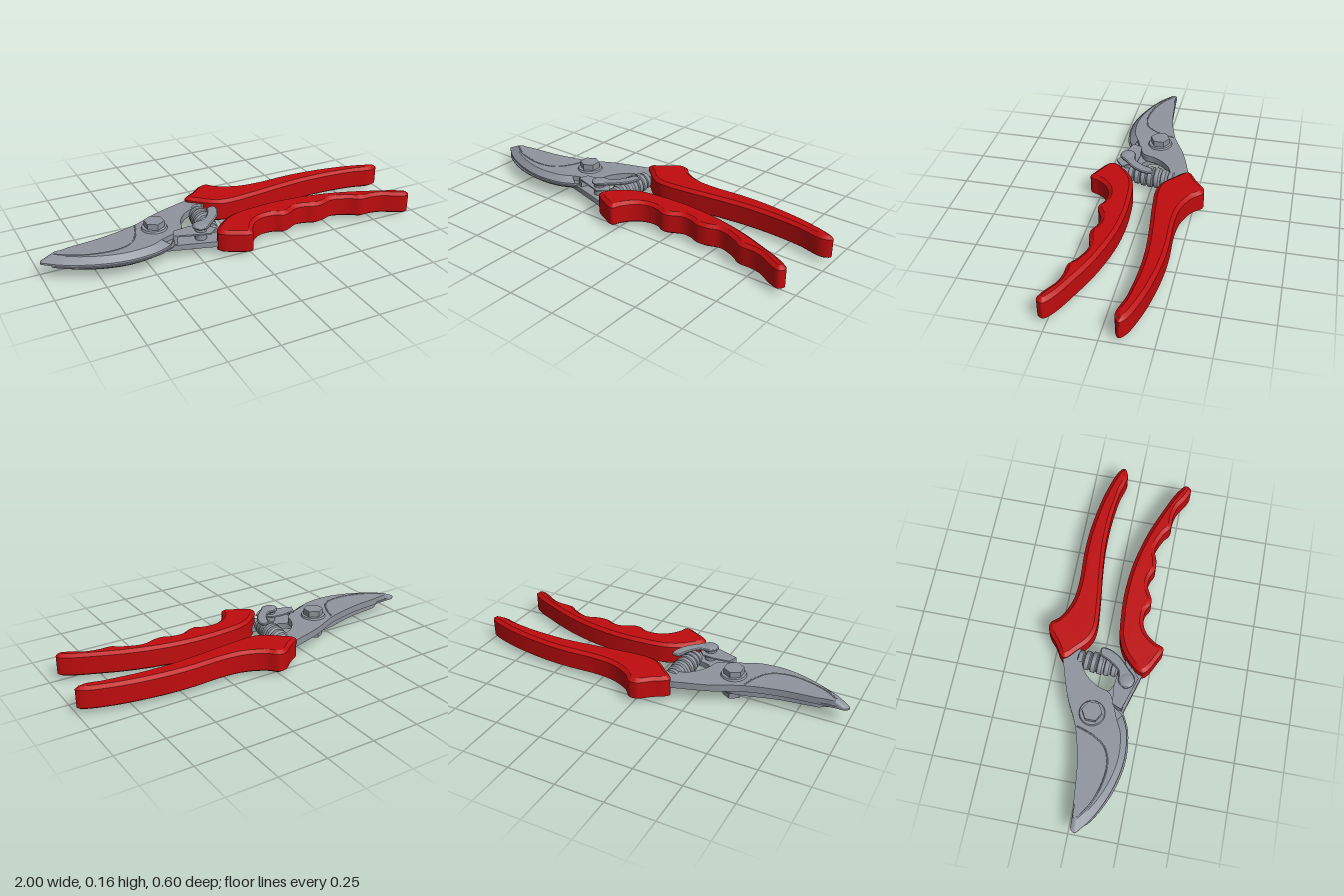
import * as THREE from 'three';
import { toCreasedNormals } from 'three/addons/utils/BufferGeometryUtils.js';

const red = new THREE.MeshStandardMaterial({ color: 0xc00c0e });
red.name = 'red grip';
const steel = new THREE.MeshStandardMaterial({ color: 0x8f959e, side: THREE.DoubleSide });
steel.name = 'steel';

// Smooth curve through [x, z] points
function smooth(pts, n, closed = false) {
  const c = new THREE.CatmullRomCurve3(pts.map(([x, z]) => new THREE.Vector3(x, 0, z)), closed);
  const out = c.getPoints(n).map(p => [p.x, p.z]);
  if (closed) out.pop();
  return out;
}

// Flat slab with an [x, z] outline between heights y0 and y1
function slab(outline, y0, y1, bevel = 0, bevelH = 0) {
  const shape = new THREE.Shape(outline.map(([x, z]) => new THREE.Vector2(x, z)));
  const g = new THREE.ExtrudeGeometry(shape, {
    depth: y1 - y0 - 2 * bevelH, bevelEnabled: bevel > 0,
    bevelSize: bevel, bevelOffset: -bevel, bevelThickness: bevelH, bevelSegments: 1,
  });
  g.rotateX(Math.PI / 2).translate(0, y1 - bevelH, 0);
  return toCreasedNormals(g, 0.5);
}

// Sloping strip between two [x, z] lines at two heights
function strip(a, ya, b, yb) {
  const pos = [], idx = [];
  a.forEach(([x, z], i) => {
    pos.push(x, ya, z, b[i][0], yb, b[i][1]);
    if (i) {
      const k = 2 * i;
      if (ya > yb) idx.push(k - 2, k - 1, k, k, k - 1, k + 1);
      else idx.push(k - 2, k, k - 1, k, k + 1, k - 1);
    }
  });
  const g = new THREE.BufferGeometry();
  g.setAttribute('position', new THREE.Float32BufferAttribute(pos, 3));
  g.setIndex(idx);
  g.computeVertexNormals();
  return g;
}

export function createModel() {
  const model = new THREE.Group();
  model.name = 'pruningShears';
  function add(name, geo, mat = steel, x = 0, y = 0, z = 0, parent = model) {
    const m = new THREE.Mesh(geo, mat);
    m.name = name;
    m.position.set(x, y, z);
    parent.add(m);
    return m;
  }

  // Handles: bevelled grips, the front one with finger scallops
  const backGrip = smooth([
    [-0.155, -0.195], [-0.085, -0.25], [-0.02, -0.3], [0.02, -0.3], [0.065, -0.255], [0.16, -0.212],
    [0.27, -0.2], [0.46, -0.208], [0.62, -0.2], [0.83, -0.165], [0.975, -0.115], [0.995, -0.09],
    [0.95, -0.065], [0.83, -0.09], [0.67, -0.105], [0.51, -0.105], [0.35, -0.09], [0.19, -0.07],
    [0.03, -0.06], [-0.035, -0.08], [-0.1, -0.135],
  ], 110, true);
  const frontGrip = smooth([
    [-0.16, 0.215], [-0.09, 0.12], [0, 0.07], [0.14, 0.05], [0.27, 0.046], [0.43, 0.06], [0.62, 0.105],
    [0.78, 0.165], [0.91, 0.225], [0.95, 0.262], [0.93, 0.292], [0.885, 0.28], [0.805, 0.235],
    [0.75, 0.223], [0.68, 0.22], [0.635, 0.19], [0.54, 0.158], [0.47, 0.178], [0.42, 0.18],
    [0.375, 0.162], [0.32, 0.158], [0.25, 0.19], [0.22, 0.192], [0.18, 0.172], [0.11, 0.172],
    [0.055, 0.2], [0.015, 0.25], [-0.01, 0.298], [-0.065, 0.28],
  ], 150, true);
  add('backHandle', slab(backGrip, 0.016, 0.137, 0.02, 0.014), red);
  add('frontHandle', slab(frontGrip, 0.016, 0.137, 0.02, 0.014), red);

  // Blades: thin base, narrower thick body and a ground bevel between them
  const inset = pts => pts.map(([x, z]) => [-0.62 + (x + 0.62) * 0.84, 0.02 + (z - 0.02) * 0.84]);
  function blade(name, edge, rest, base, yEdge, yFace) {
    const g = new THREE.Group();
    g.name = name;
    model.add(g);
    const inner = inset(edge);
    add(name + 'Edge', slab([...edge, ...rest], Math.min(base, yEdge), Math.max(base, yEdge)), steel, 0, 0, 0, g);
    add(name + 'Body', slab([...inner, ...rest], Math.min(yEdge, yFace), Math.max(yEdge, yFace)), steel, 0, 0, 0, g);
    add(name + 'Bevel', strip(inner, yFace, edge, yEdge), steel, 0, 0, 0, g);
  }
  const upperEdge = smooth([
    [-0.94, 0.01], [-0.985, 0.014], [-1, 0.035], [-0.975, 0.06], [-0.91, 0.108], [-0.77, 0.172],
    [-0.61, 0.205], [-0.46, 0.19], [-0.385, 0.155],
  ], 48);
  const upperRest = [
    ...smooth([[-0.35, 0.105], [-0.29, 0.07], [-0.265, 0], [-0.21, -0.07], [-0.15, -0.1], [-0.08, -0.12]], 24),
    [-0.06, -0.2],
    ...smooth([[-0.15, -0.2], [-0.345, -0.135], [-0.49, -0.065], [-0.67, -0.018], [-0.85, 0.003]], 24),
  ];
  blade('cuttingBlade', upperEdge, upperRest, 0.076, 0.086, 0.113);

  const lowerEdge = smooth([
    [-0.95, 0.055], [-0.955, 0.075], [-0.91, 0.115], [-0.77, 0.182], [-0.61, 0.214], [-0.46, 0.198], [-0.385, 0.165],
  ], 40);
  const lowerRest = [
    [-0.37, 0.155], [-0.16, 0.215], [-0.06, 0.2], [-0.06, 0.13],
    ...smooth([[-0.12, 0.11], [-0.26, 0.07], [-0.33, -0.02], [-0.41, -0.065], [-0.49, -0.055],
      [-0.65, -0.01], [-0.85, 0.02]], 30),
  ];
  blade('counterBlade', lowerEdge, lowerRest, 0.076, 0.07, 0.047);

  // Raised line where the ground face of the blade ends
  const ridge = smooth([[-0.93, 0.035], [-0.86, 0.082], [-0.76, 0.118], [-0.65, 0.128], [-0.57, 0.1],
    [-0.52, 0.03], [-0.49, -0.055]], 30).map(([x, z]) => new THREE.Vector3(x, 0.112, z));
  add('bladeRidge', new THREE.TubeGeometry(new THREE.CatmullRomCurve3(ridge), 50, 0.004, 6));

  // Pivot bolt: hex head, washers and nut
  const px = -0.41, pz = 0.005;
  add('boltWasher', new THREE.CylinderGeometry(0.062, 0.066, 0.01, 32), steel, px, 0.118, pz);
  const hex = h => toCreasedNormals(new THREE.CylinderGeometry(0.052, 0.052, h, 6), 0.3);
  add('boltHead', hex(0.033), steel, px, 0.138, pz);
  add('boltNut', hex(0.036), steel, px, 0.018, pz);
  add('nutWasher', new THREE.CylinderGeometry(0.06, 0.06, 0.012, 32), steel, px, 0.041, pz);

  // Latch bracket on the front tang
  add('latchPlate', slab([[-0.345, 0.095], [-0.365, 0.145], [-0.19, 0.2], [-0.14, 0.16], [-0.2, 0.09], [-0.26, 0.085]],
    0.115, 0.123));
  add('latchBracketLeg', slab([[-0.345, 0.095], [-0.365, 0.145], [-0.345, 0.15], [-0.325, 0.1]], 0.076, 0.115));

  // Latch lever with its domed rivet
  add('latchLever', slab(smooth([
    [-0.262, 0.145], [-0.24, 0.178], [-0.2, 0.182], [-0.165, 0.15], [-0.1, 0.085], [-0.07, 0.02],
    [-0.075, -0.012], [-0.11, -0.01], [-0.135, 0.04], [-0.18, 0.095], [-0.235, 0.105],
  ], 60, true), 0.138, 0.152, 0.005, 0.004));
  add('rivetPost', new THREE.CylinderGeometry(0.03, 0.03, 0.06, 24), steel, -0.22, 0.108, 0.145);
  const dome = new THREE.SphereGeometry(0.038, 24, 8, 0, Math.PI * 2, 0, Math.PI / 2).scale(1, 0.25, 1);
  add('rivetHead', dome, steel, -0.22, 0.148, 0.145);

  // Volute spring between the handles: telescoping coils along z
  const coils = [];
  const n = 7;
  for (let i = 0; i < n; i++) {
    const r = 0.038 + 0.017 * Math.sin(Math.PI * (i + 0.8) / n);
    const z = -0.125 + i * 0.036;
    coils.push([r - 0.008, z], [r, z + 0.005], [r, z + 0.026], [r - 0.008, z + 0.031]);
  }
  const profile = [[0.001, -0.125], ...coils, [0.001, 0.122]].map(([r, z]) => new THREE.Vector2(r, z));
  const spring = toCreasedNormals(new THREE.LatheGeometry(profile, 32).rotateX(Math.PI / 2), 0.5);
  add('spring', spring, steel, -0.137, 0.078, 0).rotation.y = -0.08;

  return model;
}
